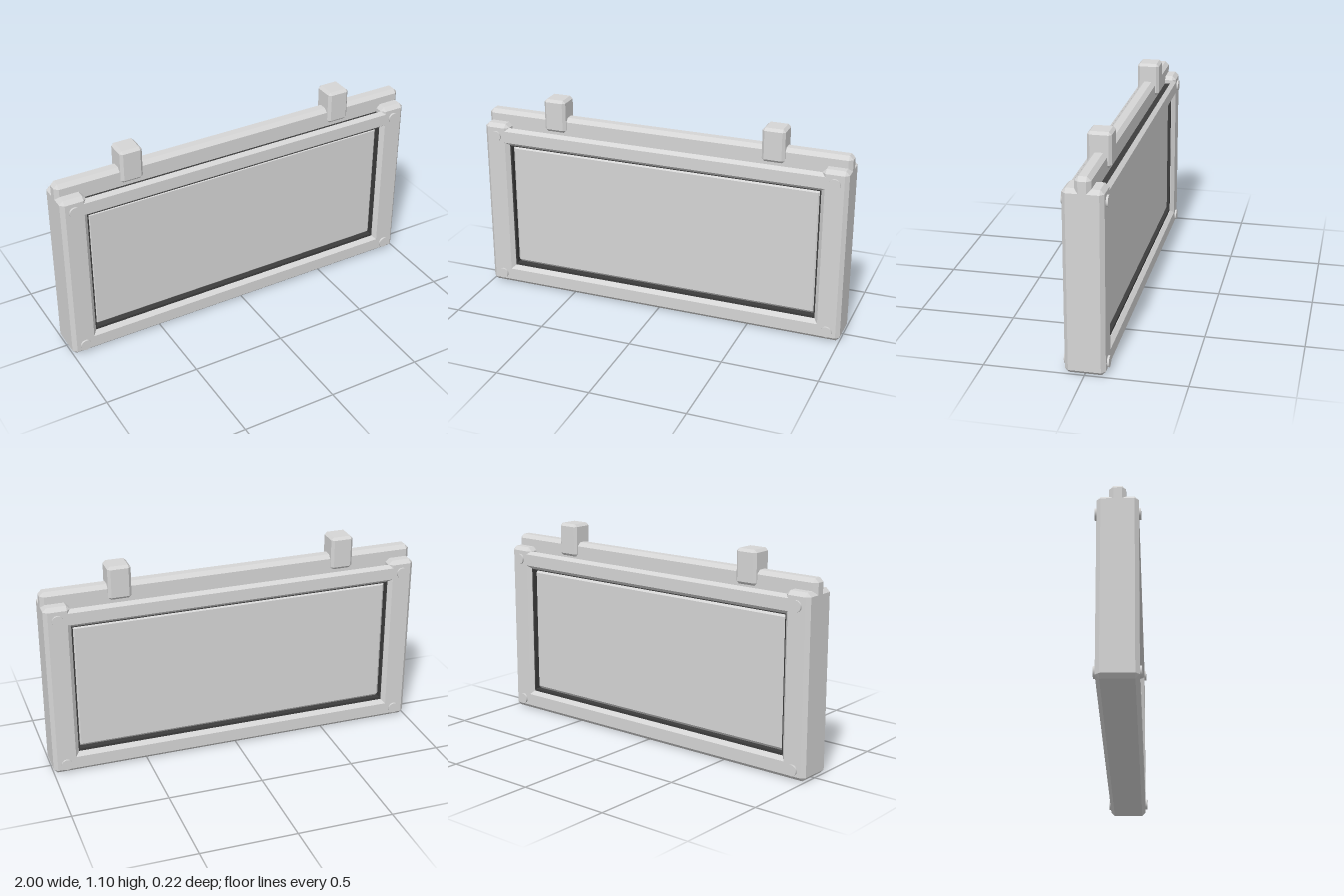
import * as THREE from 'three';
import { ConvexGeometry } from 'three/addons/geometries/ConvexGeometry.js';

const grey = new THREE.MeshStandardMaterial({ color: 0xd5d5d5 });
grey.name = 'light grey';
const dark = new THREE.MeshStandardMaterial({ color: 0x3c3c3c });
dark.name = 'dark grey';

// box between two corners with every edge chamfered by b
function chamferBox([x0, y0, z0], [x1, y1, z1], b) {
  const h = [(x1 - x0) / 2, (y1 - y0) / 2, (z1 - z0) / 2];
  const points = [];
  for (const sx of [-1, 1]) for (const sy of [-1, 1]) for (const sz of [-1, 1])
    for (let axis = 0; axis < 3; axis++) {
      const p = h.map((v, i) => (i === axis ? v : v - b));
      points.push(new THREE.Vector3(p[0] * sx, p[1] * sy, p[2] * sz));
    }
  return new ConvexGeometry(points).translate((x0 + x1) / 2, (y0 + y1) / 2, (z0 + z1) / 2);
}

// bar along x with a convex [y, z] section
function bar(section, half) {
  return new ConvexGeometry(section.flatMap(([y, z]) =>
    [-half, half].map((x) => new THREE.Vector3(x, y, z))));
}

// rectangle as a list of corners
const rectangle = (x, y0, y1) =>
  [[-x, y0], [x, y0], [x, y1], [-x, y1]].map(([px, py]) => new THREE.Vector2(px, py));

export function createModel() {
  const model = new THREE.Group();
  model.name = 'hangingSign';
  const add = (name, geometry, material = grey) => {
    const mesh = new THREE.Mesh(geometry, material);
    mesh.name = name;
    model.add(mesh);
    return mesh;
  };

  // frame: bottom rail and two side posts
  add('bottomRail', chamferBox([-0.97, 0, -0.1], [0.97, 0.105, 0.1], 0.02));
  for (const s of [-1, 1]) {
    const edges = [s * 0.862, s].sort((a, b) => a - b);
    add(s > 0 ? 'leftPost' : 'rightPost',
      chamferBox([edges[0], 0, -0.1], [edges[1], 0.94, 0.1], 0.02));
  }

  // dark lining around the recess, filling the gap behind the top rails
  const lining = new THREE.Shape(rectangle(0.9, 0.06, 0.9));
  lining.holes.push(new THREE.Path(rectangle(0.854, 0.118, 0.816)));
  add('lining', new THREE.ExtrudeGeometry(lining, { depth: 0.154, bevelEnabled: false })
    .translate(0, 0, -0.077), dark);

  // recessed panel, seen from both sides, and the hanging bar
  add('panel', chamferBox([-0.862, 0.115, -0.062], [0.862, 0.818, 0.062], 0.02));
  add('hangingBar', chamferBox([-1, 0.85, -0.04], [1, 1, 0.04], 0.02));

  // both faces: top rail and four bolts
  for (const s of [-1, 1]) {
    const side = s > 0 ? 'front' : 'back';
    add(side + 'TopRail', bar([[0.82, s * 0.076], [0.84, s * 0.1], [0.903, s * 0.1], [0.92, s * 0.08]], 0.94));

    for (const x of [-0.932, 0.932]) for (const y of [0.052, 0.872]) {
      const bolt = add(side + 'Bolt', new THREE.CylinderGeometry(0.029, 0.029, 0.02, 16));
      bolt.rotation.x = Math.PI / 2;
      bolt.position.set(x, y, s * 0.1);
    }
  }

  // hanging clips over the bar
  for (const x of [-0.6, 0.6])
    add('clip', chamferBox([x - 0.06, 0.922, -0.06], [x + 0.06, 1.1, 0.06], 0.014));

  return model;
}
